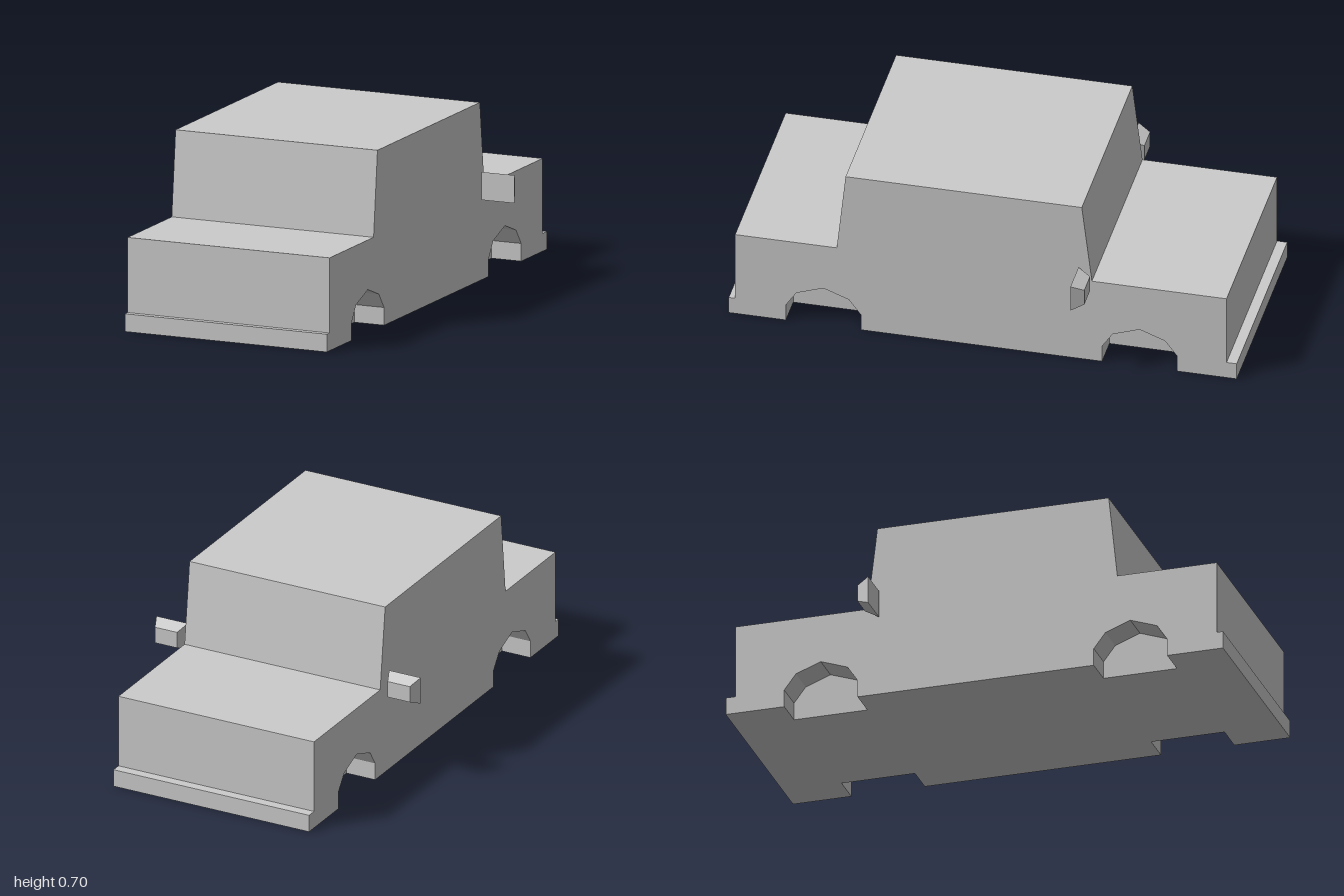
import * as THREE from 'three';

const HALF_WIDTH = 0.427;
const ARCH_DEPTH = 0.125;

// Side outline in (z, y), running along the top from back to front.
const outline = [
  [-1, 0], [-1, 0.07], [-0.96, 0.07], [-0.96, 0.365], [-0.43, 0.365], [-0.39, 0.7],
  [0.54, 0.7], [0.575, 0.365], [0.975, 0.365], [0.975, 0.07], [1, 0.07], [1, 0],
];

// Faceted wheel arch in (z offset, y), from its front foot to its back foot.
const arch = [
  [0.148, 0], [0.148, 0.07], [0.107, 0.132], [0, 0.17],
  [-0.1, 0.132], [-0.147, 0.07], [-0.147, 0],
];
const wheelCentres = [0.627, -0.618];

// Extrudes a (z, y) outline across x from x0 to x1.
function slab(name, points, x0, x1, material) {
  const shape = new THREE.Shape(points.map(([z, y]) => new THREE.Vector2(-z, y)));
  const geometry = new THREE.ExtrudeGeometry(shape, { depth: x1 - x0, bevelEnabled: false });
  geometry.rotateY(Math.PI / 2);
  geometry.translate(x0, 0, 0);
  const mesh = new THREE.Mesh(geometry, material);
  mesh.name = name;
  return mesh;
}

// Box that tapers towards the back.
function mirrorHousing(material) {
  const geometry = new THREE.BoxGeometry(0.138, 0.11, 0.05);
  const position = geometry.attributes.position;
  for (let i = 0; i < position.count; i++) {
    if (position.getZ(i) < 0) {
      position.setX(i, position.getX(i) * 0.7);
      position.setY(i, position.getY(i) * 0.6);
    }
  }
  geometry.computeVertexNormals();
  return new THREE.Mesh(geometry, material);
}

export function createModel() {
  const model = new THREE.Group();
  model.name = 'car';
  const material = new THREE.MeshStandardMaterial({ color: 0xcccccc, flatShading: true });

  // Middle of the body, which closes the wheel arches on the inside
  const inner = HALF_WIDTH - ARCH_DEPTH;
  model.add(slab('bodyCentre', outline, -inner, inner, material));

  // Outer body sides with the wheel arches cut out of the lower edge
  const sideOutline = [...outline];
  for (const centre of wheelCentres) {
    sideOutline.push(...arch.map(([z, y]) => [centre + z, y]));
  }
  model.add(slab('leftBodySide', sideOutline, inner, HALF_WIDTH, material));
  model.add(slab('rightBodySide', sideOutline, -HALF_WIDTH, -inner, material));

  // Door mirrors, standing just clear of the body
  for (const side of [1, -1]) {
    const mirror = mirrorHousing(material);
    mirror.name = side > 0 ? 'leftMirror' : 'rightMirror';
    mirror.position.set(side * 0.508, 0.375, -0.405);
    model.add(mirror);
  }
  return model;
}
